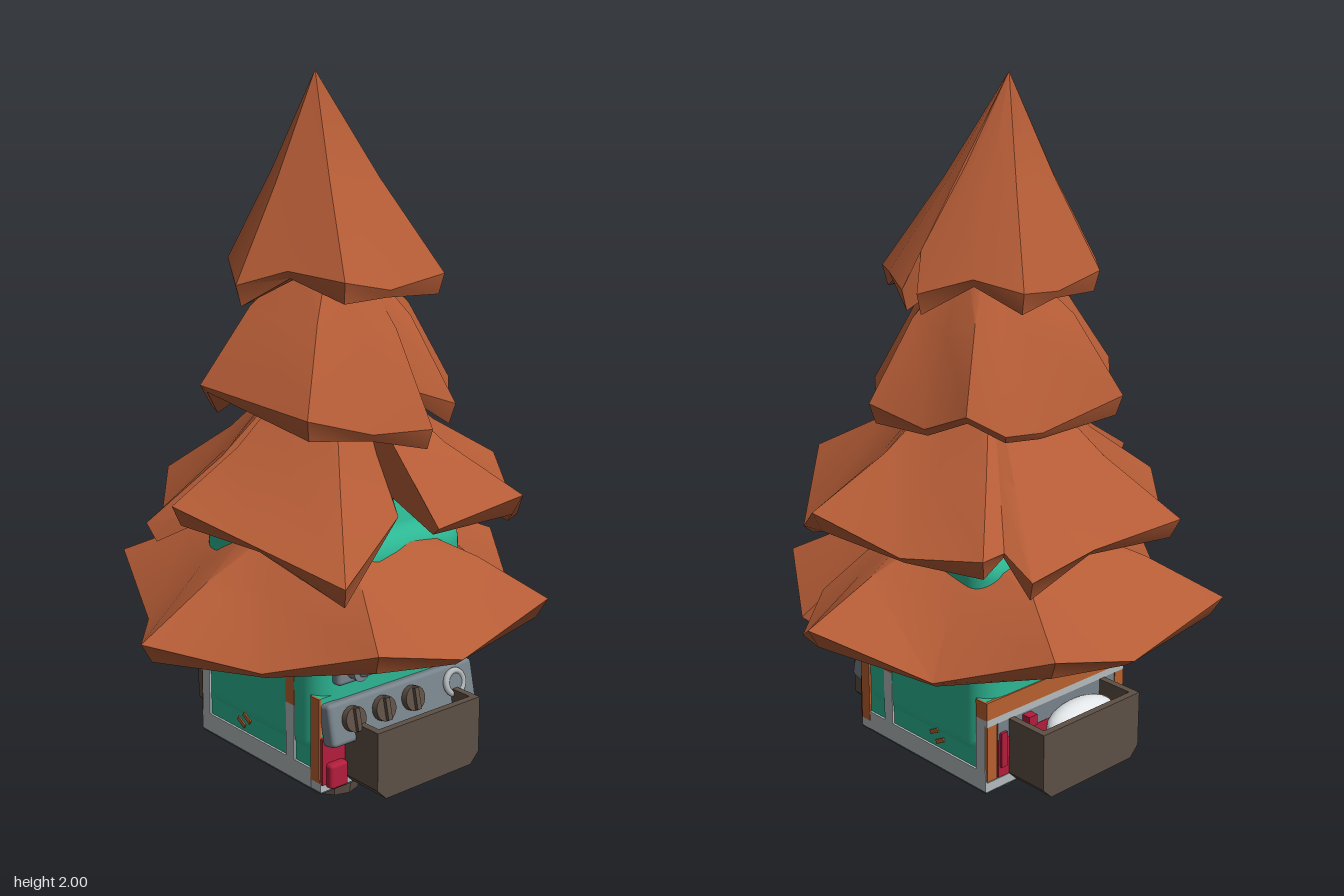
import * as THREE from 'three';
import { toCreasedNormals } from 'three/addons/utils/BufferGeometryUtils.js';
import { RoundedBoxGeometry } from 'three/addons/geometries/RoundedBoxGeometry.js';

const mat = (name, color, side = THREE.FrontSide) => {
  const m = new THREE.MeshStandardMaterial({ color, side });
  m.name = name;
  return m;
};

export function createModel() {
  const M = {
    foliage: mat('russet foliage', 0xb55c36, THREE.DoubleSide),
    teal: mat('teal casing', 0x2db693),
    bark: mat('dark bark', 0x5c4f45),
    metal: mat('grey metal', 0x77828a),
    light: mat('light trim', 0xb4babc),
    red: mat('red panel', 0xb31d3c),
    orange: mat('orange trim', 0xb8602e),
    under: mat('dark underside', 0x3f4a54),
    white: mat('white filling', 0xe4e8ea),
  };
  const root = new THREE.Group();
  root.name = 'treeMachine';

  const add = (name, geo, material, x = 0, y = 0, z = 0, parent = root) => {
    const mesh = new THREE.Mesh(geo, material);
    mesh.name = name;
    mesh.position.set(x, y, z);
    parent.add(mesh);
    return mesh;
  };
  const box = (name, material, w, h, d, x, y, z, parent) =>
    add(name, new THREE.BoxGeometry(w, h, d), material, x, y, z, parent);

  // One drooping skirt of foliage: an open loop of cross-sections with a step where its ends meet.
  // The rim is thick at the pointed tips and thin in the notches between them.
  function tier(name, { rim, topR, topY, bulge, underY, underR = 0.1, cx = 0, cz = 0 }) {
    const n = 5, pos = [], idx = [];
    const reach = i => Math.hypot(rim[(i + rim.length) % rim.length][0], rim[(i + rim.length) % rim.length][2]);
    rim.forEach(([x, y, z], i) => {
      const len = reach(i), ux = x / len, uz = z / len;
      const lip = len > reach(i - 1) && len > reach(i + 1) ? 0.055 : 0.02;
      const ix = cx + ux * topR, iz = cz + uz * topR;
      pos.push(ix, topY, iz);
      pos.push((ix + x) / 2, (topY + y) / 2 + bulge, (iz + z) / 2);
      pos.push(x, y, z);
      pos.push(x * 0.95, y - lip, z * 0.95);
      pos.push(ux * underR, underY, uz * underR);
    });
    for (let i = 0; i < rim.length - 1; i++) {
      for (let j = 0; j < n - 1; j++) {
        const a = i * n + j, b = a + n;
        idx.push(a, b, a + 1, b, b + 1, a + 1);
      }
    }
    const e = (rim.length - 1) * n;
    for (let j = 1; j < n - 1; j++) {
      idx.push(0, j, j + 1);
      idx.push(e, e + j + 1, e + j);
    }
    const geo = new THREE.BufferGeometry();
    geo.setAttribute('position', new THREE.Float32BufferAttribute(pos, 3));
    geo.setIndex(idx);
    add(name, toCreasedNormals(geo, 0.6), M.foliage);
  }

  tier('lowestFoliage', {
    topR: 0.22, topY: 0.8, bulge: 0.015, underY: 0.72,
    rim: [
      [0.43, 0.53, 0.31], [0.30, 0.64, 0.53], [0, 0.54, 0.515], [-0.32, 0.64, 0.55],
      [-0.45, 0.54, 0.26], [-0.64, 0.59, 0.01], [-0.45, 0.54, -0.25], [-0.33, 0.64, -0.56],
      [0, 0.55, -0.54], [0.31, 0.65, -0.56], [0.45, 0.54, -0.27], [0.63, 0.65, 0],
      [0.50, 0.53, 0.21], [0.38, 0.61, 0.275],
    ],
  });
  tier('lowerMiddleFoliage', {
    topR: 0.11, topY: 1.22, bulge: -0.025, underY: 0.98,
    rim: [
      [-0.04, 0.88, 0.31], [-0.33, 0.78, 0.44], [-0.42, 0.85, 0.2], [-0.51, 0.92, -0.03],
      [-0.38, 0.88, -0.06], [-0.53, 0.86, -0.12], [-0.36, 0.83, -0.3], [-0.2, 0.88, -0.51],
      [0.05, 0.84, -0.44], [0.29, 0.82, -0.46], [0.29, 0.87, -0.36], [0.37, 0.87, -0.37],
      [0.45, 0.84, -0.15], [0.54, 0.92, 0.09], [0.42, 0.8, 0.3], [0.2, 0.94, 0.52],
      [-0.06, 0.89, 0.48],
    ],
  });
  tier('upperMiddleFoliage', {
    topR: 0.1, topY: 1.51, bulge: 0.045, underY: 1.26,
    rim: [
      [0.03, 1.11, 0.36], [-0.13, 1.11, 0.31], [-0.3, 1.16, 0.26], [-0.38, 1.21, -0.08],
      [-0.26, 1.12, -0.2], [-0.12, 1.2, -0.37], [0.08, 1.12, -0.28], [0.2, 1.13, -0.27],
      [0.27, 1.18, -0.2], [0.28, 1.12, -0.05], [0.34, 1.17, 0.1], [0.22, 1.11, 0.22],
      [0.13, 1.16, 0.34], [0.024, 1.2, 0.28],
    ],
  });
  tier('treetop', {
    topR: 0, topY: 2, bulge: -0.015, underY: 1.5, cx: -0.035, cz: -0.03,
    rim: [
      [0.24, 1.57, 0], [0.28, 1.47, 0.03], [0.24, 1.5, 0.13], [0.15, 1.49, 0.27],
      [-0.03, 1.46, 0.26], [-0.18, 1.49, 0.26], [-0.24, 1.51, 0.11], [-0.32, 1.47, 0],
      [-0.22, 1.52, -0.17], [-0.13, 1.51, -0.27], [0, 1.47, -0.25], [0.13, 1.48, -0.26],
      [0.2, 1.51, -0.15], [0.29, 1.47, -0.04], [0.24, 1.57, 0],
    ],
  });

  // Trunk, stump and the wire wound round it
  const taper = (top, bottom, h) =>
    toCreasedNormals(new THREE.CylinderGeometry(top, bottom, h, 10), 0.5);
  add('trunk', taper(0.04, 0.06, 0.75), M.bark, 0, 1.15, 0);
  add('stump', taper(0.1, 0.075, 0.16), M.bark, 0, 0.08, 0);
  [0.1, 0.125].forEach((y, i) => {
    const wire = add('wireCoil', new THREE.TorusGeometry(0.103, 0.009, 6, 24), i ? M.light : M.metal, 0, y, 0);
    wire.rotation.set(Math.PI / 2 + (i ? 0.08 : -0.15), i ? 0.08 : -0.06, 0);
  });

  // Casing with a rounded top on a flat base
  add('casing', new RoundedBoxGeometry(0.53, 0.6, 0.53, 4, 0.07), M.teal, 0, 0.52, 0);
  box('lowerCasing', M.teal, 0.52, 0.24, 0.52, 0, 0.3, 0);
  box('baseTrim', M.light, 0.53, 0.025, 0.53, 0, 0.172, 0);
  box('basePlate', M.under, 0.525, 0.008, 0.525, 0, 0.157, 0);

  // Side panels, strips and scratches, mirrored
  for (const s of [1, -1]) {
    const side = new THREE.Group();
    side.name = s > 0 ? 'leftSide' : 'rightSide';
    root.add(side);
    const strip = (name, m, y0, y1, z, w) =>
      box(name, m, 0.007, y1 - y0, w, s * 0.263, (y0 + y1) / 2, z, side);
    strip('lightBase', M.light, 0.16, 0.215, -0.02, 0.49);
    strip('lightStrip', M.light, 0.215, 0.37, 0.14, 0.035);
    strip('orangeStrip', M.orange, 0.37, 0.62, 0.14, 0.035);
    strip('rearLightStrip', M.light, 0.215, 0.37, -0.245, 0.035);
    strip('rearOrangeStrip', M.orange, 0.37, 0.42, -0.245, 0.035);
    strip('frontOrangeStrip', M.orange, 0.185, 0.42, 0.244, 0.036);
    for (const [y, z] of [[0.26, -0.055], [0.24, -0.08]]) {
      const scratch = box('scratch', M.orange, 0.004, 0.012, 0.035, s * 0.264, y, z, side);
      scratch.rotation.x = 0.5;
    }
  }

  // Front: red panel, button, console, knobs and dial
  box('redPanel', M.red, 0.525, 0.13, 0.01, 0, 0.245, 0.265);
  add('redButton', new RoundedBoxGeometry(0.06, 0.07, 0.03, 2, 0.01), M.red, -0.22, 0.205, 0.278);
  const consoleGroup = new THREE.Group();
  consoleGroup.name = 'console';
  consoleGroup.position.set(0, 0.35, 0.28);
  consoleGroup.rotation.x = -0.22;
  root.add(consoleGroup);
  add('consolePlate', new RoundedBoxGeometry(0.52, 0.115, 0.05, 2, 0.012), M.metal, 0, 0, 0, consoleGroup);
  const disc = (r, d) => new THREE.CylinderGeometry(r, r, d, 20).rotateX(Math.PI / 2);
  for (const x of [-0.19, -0.085, 0.02]) {
    add('knob', disc(0.034, 0.025), M.bark, x, 0.006, 0.032, consoleGroup);
    box('knobGrip', M.bark, 0.014, 0.06, 0.02, x, 0.006, 0.045, consoleGroup);
  }
  add('dialRim', new THREE.TorusGeometry(0.032, 0.009, 8, 24), M.light, 0.18, 0.008, 0.03, consoleGroup);
  add('dialFace', disc(0.03, 0.012), M.metal, 0.18, 0.008, 0.028, consoleGroup);

  // Lever on the upper front
  add('leverPlate', new RoundedBoxGeometry(0.085, 0.08, 0.035, 2, 0.012), M.metal, -0.18, 0.49, 0.272);
  add('leverPivot', disc(0.026, 0.05), M.metal, -0.17, 0.49, 0.295);
  add('leverHandle', new THREE.CapsuleGeometry(0.014, 0.08, 4, 10).rotateZ(Math.PI / 2), M.metal, -0.125, 0.488, 0.315);

  // Back: orange band, trims and red panel
  box('backBand', M.orange, 0.53, 0.05, 0.008, 0, 0.395, -0.265);
  box('backTrim', M.light, 0.53, 0.02, 0.008, 0, 0.36, -0.265);
  box('backUpperPanel', M.metal, 0.45, 0.05, 0.01, 0, 0.325, -0.264);
  box('backPanel', M.red, 0.45, 0.11, 0.012, 0, 0.245, -0.264);
  for (const s of [1, -1]) {
    box('backCornerTrim', M.orange, 0.035, 0.16, 0.008, s * 0.246, 0.27, -0.265);
    box('redLatch', M.red, 0.022, 0.1, 0.018, s * 0.208, 0.27, -0.268);
  }
  box('redMarker', M.red, 0.03, 0.03, 0.03, 0.12, 0.33, -0.28);

  // Open troughs at front and back
  const profile = [
    [-0.185, 0.35], [-0.185, 0.19], [-0.155, 0.16], [0.155, 0.16], [0.185, 0.19], [0.185, 0.35],
    [0.165, 0.35], [0.165, 0.2], [0.15, 0.185], [-0.15, 0.185], [-0.165, 0.2], [-0.165, 0.35],
  ].map(p => new THREE.Vector2(...p));
  const extrude = (pts, depth) =>
    new THREE.ExtrudeGeometry(new THREE.Shape(pts), { depth, bevelEnabled: false });
  for (const front of [true, false]) {
    const trough = new THREE.Group();
    trough.name = front ? 'frontTrough' : 'backTrough';
    trough.rotation.y = front ? 0 : Math.PI;
    root.add(trough);
    add('troughWalls', extrude(profile, 0.125), M.bark, 0, 0, 0.255, trough);
    add('troughEnd', extrude(profile.slice(0, 6), 0.02), M.bark, 0, 0, 0.38, trough);
  }
  const filling = add('filling', new THREE.SphereGeometry(1, 24, 12), M.white, -0.03, 0.3, -0.325);
  filling.scale.set(0.12, 0.055, 0.055);

  return root;
}
